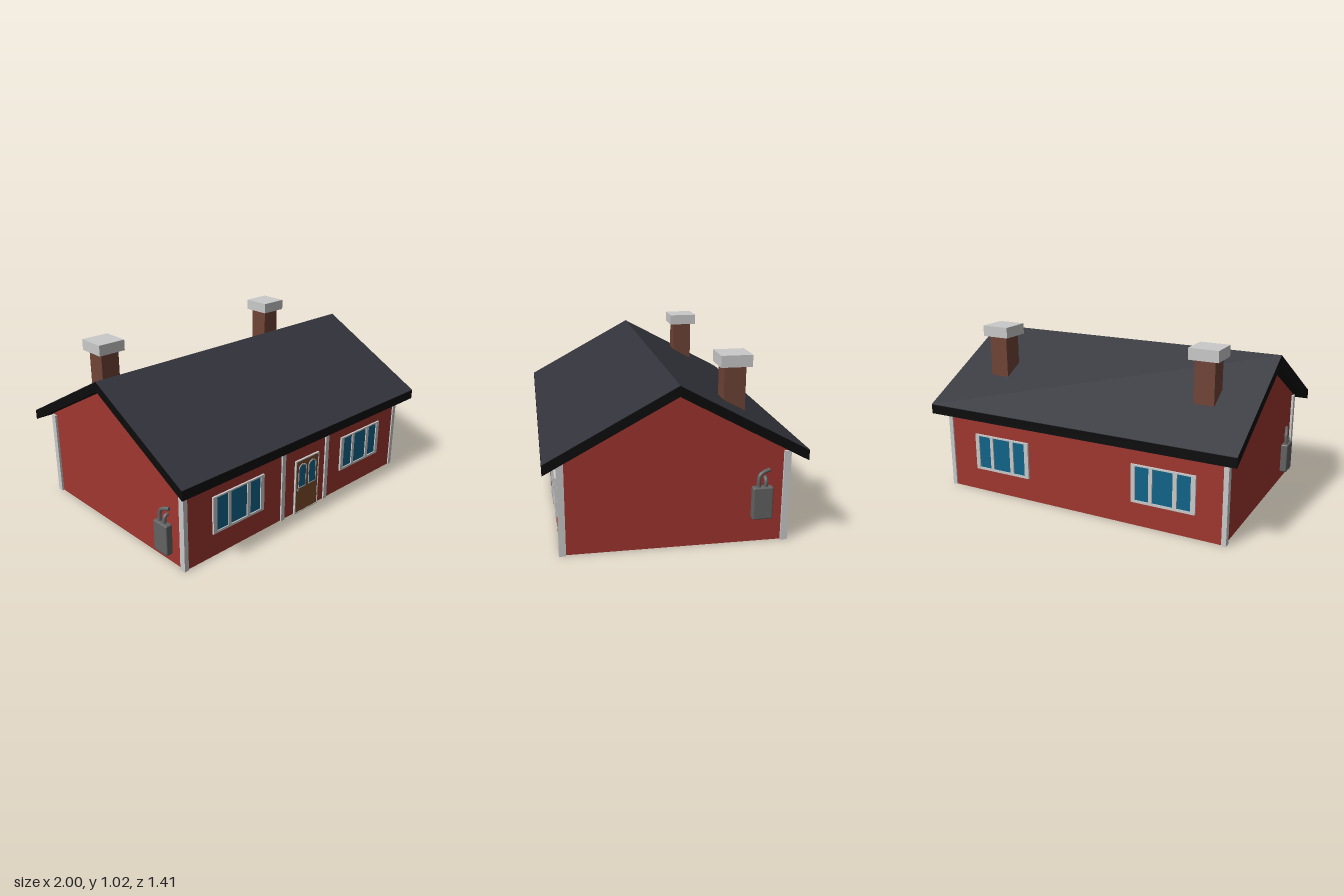
import * as THREE from 'three';
import { RoundedBoxGeometry } from 'three/addons/geometries/RoundedBoxGeometry.js';

const mat = (name, color, side = THREE.FrontSide) => {
  const m = new THREE.MeshStandardMaterial({ color, side });
  m.name = name;
  return m;
};

export function createModel() {
  const red = mat('red wall', 0xa0362f);
  const slate = mat('roof slate', 0x33333c);
  const black = mat('roof edge black', 0x0c0c0c);
  const white = mat('trim white', 0xcacaca);
  const glass = mat('window glass', 0x10658a);
  const wood = mat('door wood', 0x80502c);
  const brick = mat('chimney brick', 0x6f4336);
  const grey = mat('metal grey', 0x626262);

  const model = new THREE.Group();
  model.name = 'cottage';

  const add = (parent, name, geo, material, x = 0, y = 0, z = 0) => {
    const m = new THREE.Mesh(geo, material);
    m.name = name;
    m.position.set(x, y, z);
    parent.add(m);
    return m;
  };
  const box = (parent, name, material, w, h, d, x, y, z) =>
    add(parent, name, new THREE.BoxGeometry(w, h, d), material, x, y, z);
  const poly = pts => new THREE.Shape(pts.map(p => new THREE.Vector2(p[0], p[1])));
  const plate = (shape, depth) => new THREE.ExtrudeGeometry(shape, { depth, bevelEnabled: false });
  // Extrude a (z, y) profile along x, centred
  const alongX = (pts, length) =>
    plate(poly(pts), length).translate(0, 0, -length / 2).rotateY(-Math.PI / 2);

  // Walls with both gables
  const WX = 0.92, WZ = 0.625;
  add(model, 'walls', alongX([[-WZ, 0], [WZ, 0], [WZ, 0.535], [0, 0.875], [-WZ, 0.535]], WX * 2), red);

  // Roof: thick black slab with thin slate sheets on top
  const RZ = 0.707;
  const chevron = (ridge, eave, t) => [
    [-RZ, eave], [0, ridge], [RZ, eave], [RZ, eave + t], [0, ridge + t], [-RZ, eave + t]];
  add(model, 'roofSlab', alongX(chevron(0.871, 0.489, 0.057), 2), black);
  add(model, 'roofSlates', alongX(chevron(0.928, 0.546, 0.003), 2), slate);

  // Corner boards and the two posts beside the door
  for (const sx of [-1, 1])
    for (const sz of [-1, 1])
      box(model, 'cornerBoard', white, 0.028, 0.525, 0.038, sx * 0.92, 0.2625, sz * 0.614);
  for (const x of [-0.17, 0.221])
    box(model, 'doorPost', white, 0.029, 0.525, 0.02, x, 0.2625, 0.625);

  // Chimneys
  for (const x of [-0.698, 0.679]) {
    const chimney = new THREE.Group();
    chimney.name = 'chimney';
    chimney.position.set(x, 0, -0.36);
    box(chimney, 'chimneyShaft', brick, 0.122, 0.36, 0.122, 0, 0.78, 0);
    box(chimney, 'chimneyCap', white, 0.177, 0.066, 0.177, 0, 0.989, 0);
    model.add(chimney);
  }

  // Three-pane windows, the same on the front and turned round on the back
  const panes = [[-0.169, -0.085], [-0.063, 0.061], [0.086, 0.168]];
  const rect = (x0, x1, y0, y1) => [[x0, y0], [x1, y0], [x1, y1], [x0, y1]];
  const frameShape = poly(rect(-0.196, 0.196, 0.145, 0.374));
  for (const [a, b] of panes) frameShape.holes.push(poly(rect(a, b, 0.159, 0.365)));
  const frameGeo = plate(frameShape, 0.012);
  for (const [side, turn] of [[1, 0], [-1, Math.PI]])
    for (const x of [-0.532, 0.555]) {
      const win = new THREE.Group();
      win.name = 'window';
      add(win, 'windowFrame', frameGeo, white);
      box(win, 'windowGlass', glass, 0.38, 0.215, 0.006, 0, 0.261, 0.002);
      win.position.set(side * x, 0, side * WZ);
      win.rotation.y = turn;
      model.add(win);
    }

  // Front door with slim frame and two pointed lights
  const door = new THREE.Group();
  door.name = 'door';
  door.position.set(0.038, 0, WZ);
  box(door, 'doorPanel', wood, 0.2, 0.35, 0.012, 0, 0.175, 0.004);
  const surround = poly(rect(-0.105, 0.105, 0, 0.356));
  surround.holes.push(poly(rect(-0.098, 0.098, 0.006, 0.349)));
  add(door, 'doorFrame', plate(surround, 0.013), white);
  const light = (w, y0, y1) => poly([
    [-w, y0], [w, y0], [w, y1 - 0.022], [w * 0.6, y1 - 0.008], [0, y1],
    [-w * 0.6, y1 - 0.008], [-w, y1 - 0.022]]);
  for (const x of [-0.044, 0.045]) {
    const rim = light(0.034, 0.168, 0.328);
    rim.holes.push(light(0.03, 0.172, 0.321));
    add(door, 'doorLightRim', plate(rim, 0.004), white, x, 0, 0.009);
    add(door, 'doorLight', plate(light(0.031, 0.171, 0.322), 0.002), glass, x, 0, 0.009);
  }
  add(door, 'doorKnob', new THREE.SphereGeometry(0.009, 12, 8), grey, -0.087, 0.16, 0.016);
  model.add(door);

  // Utility box with two pipes on each gable
  const V = (x, y, z) => new THREE.Vector3(x, y, z);
  const pipe = pts => new THREE.TubeGeometry(new THREE.CatmullRomCurve3(pts), 20, 0.011, 10);
  const longPipe = pipe([V(-0.022, 0.08, 0.022), V(-0.022, 0.135, 0.022), V(-0.015, 0.16, 0.02),
    V(0.005, 0.172, 0.015), V(0.042, 0.182, 0.005)]);
  const shortPipe = pipe([V(0.018, 0.08, 0.022), V(0.018, 0.12, 0.022), V(0.018, 0.136, 0.012),
    V(0.018, 0.138, -0.01)]);
  for (const [side, y, z] of [[1, 0.238, -0.475], [-1, 0.15, 0.465]]) {
    const unit = new THREE.Group();
    unit.name = 'utilityBox';
    add(unit, 'utilityCase', new RoundedBoxGeometry(0.113, 0.186, 0.045, 2, 0.008), grey, 0, 0, 0.0225);
    add(unit, 'longPipe', longPipe, grey);
    add(unit, 'shortPipe', shortPipe, grey);
    const end = add(unit, 'pipeEnd', new THREE.CircleGeometry(0.011, 10), grey, 0.042, 0.182, 0.005);
    end.rotation.y = Math.PI / 2;
    unit.position.set(side * WX, y, z);
    unit.rotation.y = side * Math.PI / 2;
    model.add(unit);
  }

  return model;
}
